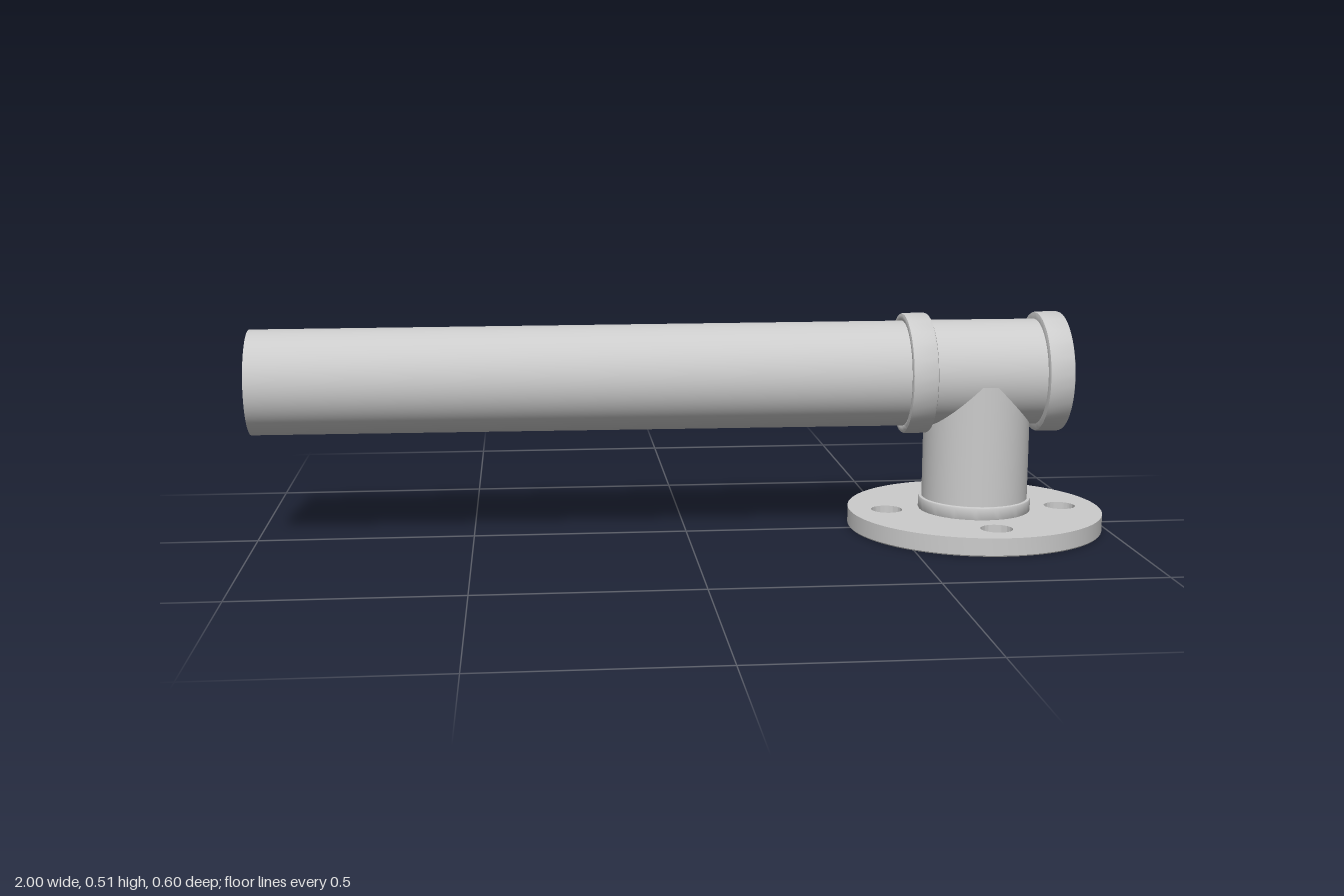
import * as THREE from 'three';
import { toCreasedNormals } from 'three/addons/utils/BufferGeometryUtils.js';

const SEG = 64;
const AXIS_Y = 0.373; // height of the horizontal run
const POST_X = 0.695; // centre of the upright and flange

const material = new THREE.MeshStandardMaterial({ color: 0xcccccc });
const thinMaterial = new THREE.MeshStandardMaterial({ color: 0xcccccc, side: THREE.DoubleSide });

function add(group, name, geometry, mat = material) {
  const mesh = new THREE.Mesh(geometry, mat);
  mesh.name = name;
  group.add(mesh);
  return mesh;
}

// Revolved profile of [radius, height] pairs with crisp edges
function turned(profile) {
  const points = profile.map(([r, y]) => new THREE.Vector2(r, y));
  return toCreasedNormals(new THREE.LatheGeometry(points, SEG), 0.5);
}

// Closed ring profile with small rounded corners
function ring(inner, outer, height, bevel) {
  const b = bevel, c = bevel * 0.3;
  return turned([
    [inner, 0], [outer - b, 0], [outer - c, c], [outer, b],
    [outer, height - b], [outer - c, height - c], [outer - b, height],
    [inner + b, height], [inner + c, height - c], [inner, height - b], [inner, 0],
  ]);
}

// Open tube along x
function tubeAlongX(x0, x1, r0, r1) {
  const geometry = new THREE.CylinderGeometry(r1, r0, x1 - x0, SEG, 1, true);
  geometry.rotateZ(-Math.PI / 2);
  geometry.translate((x0 + x1) / 2, AXIS_Y, 0);
  return geometry;
}

export function createModel() {
  const model = new THREE.Group();
  model.name = 'pipeFitting';

  // Long open pipe, entering the tee
  add(model, 'longPipe', tubeAlongX(-1, 0.54, 0.121, 0.124), thinMaterial);

  // Tee: horizontal body and two end collars
  const tee = new THREE.Group();
  tee.name = 'tee';
  model.add(tee);
  add(tee, 'teeBody', tubeAlongX(0.54, 0.86, 0.125, 0.125), thinMaterial);
  for (const [name, x, dir] of [['innerCollar', 0.57, 1], ['outerCollar', 0.83, -1]]) {
    const collar = add(tee, name, ring(0.122, 0.142, 0.06, 0.006));
    collar.rotation.z = dir * Math.PI / 2;
    collar.position.set(x, AXIS_Y, 0);
  }

  // Upright branch, reaching a little into the tee
  const branch = new THREE.CylinderGeometry(0.125, 0.125, 0.315, SEG, 1, true);
  branch.translate(POST_X, 0.1975, 0);
  add(model, 'uprightPipe', branch, thinMaterial);

  // Floor flange with four blind bolt holes
  const flange = new THREE.Group();
  flange.name = 'flange';
  flange.position.x = POST_X;
  model.add(flange);

  const disc = new THREE.Shape();
  disc.absarc(0, 0, 0.302, 0, Math.PI * 2);
  for (let i = 0; i < 4; i++) {
    const a = i * Math.PI / 2;
    const hole = new THREE.Path();
    hole.absarc(0.212 * Math.cos(a), 0.212 * Math.sin(a), 0.037, 0, Math.PI * 2, true);
    disc.holes.push(hole);
  }
  const plate = new THREE.ExtrudeGeometry(disc, { depth: 0.04, bevelEnabled: false, curveSegments: SEG });
  plate.rotateX(-Math.PI / 2);
  plate.translate(0, 0.003, 0);
  add(flange, 'flangePlate', toCreasedNormals(plate, 0.5));

  // Thin sole closing the underside
  const sole = new THREE.CylinderGeometry(0.302, 0.3, 0.003, SEG);
  sole.translate(0, 0.0015, 0);
  add(flange, 'flangeSole', sole);

  // Collar where the upright meets the flange
  const neck = add(flange, 'flangeNeck', ring(0.122, 0.133, 0.032, 0.004));
  neck.position.y = 0.041;

  return model;
}
